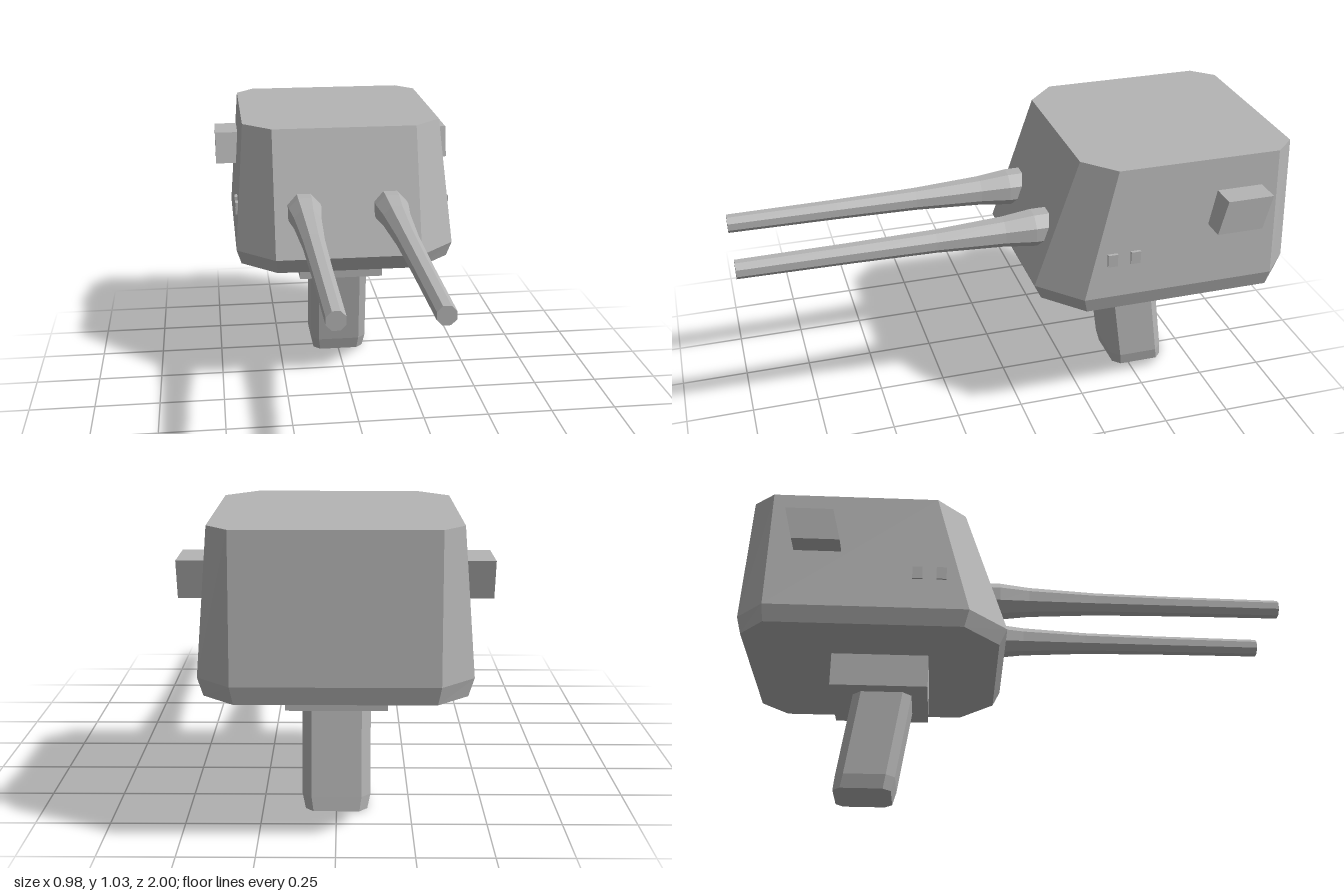
import * as THREE from 'three';

// Faceted normals for a low-poly look
function facet(geometry) {
  const g = geometry.index ? geometry.toNonIndexed() : geometry;
  g.computeVertexNormals();
  return g;
}

// Closed solid through rings of [x, y, z] points, listed bottom to top
function loft(rings) {
  const pos = [];
  const n = rings[0].length;
  const tri = (a, b, c) => pos.push(...a, ...b, ...c);
  for (let k = 0; k < rings.length - 1; k++) {
    for (let i = 0; i < n; i++) {
      const j = (i + 1) % n;
      tri(rings[k][i], rings[k][j], rings[k + 1][j]);
      tri(rings[k][i], rings[k + 1][j], rings[k + 1][i]);
    }
  }
  const low = rings[0], high = rings[rings.length - 1];
  for (let i = 1; i < n - 1; i++) {
    tri(high[0], high[i], high[i + 1]);
    tri(low[0], low[i + 1], low[i]);
  }
  const g = new THREE.BufferGeometry();
  g.setAttribute('position', new THREE.Float32BufferAttribute(pos, 3));
  return facet(g);
}

// Rectangle with cut corners: front edge, side run and back edge
function ring(y, halfWidth, frontX, frontZ, sideFrontZ, sideBackZ, backX, backZ) {
  const half = [[frontX, frontZ], [halfWidth, sideFrontZ], [halfWidth, sideBackZ], [backX, backZ]];
  const other = half.map(([x, z]) => [-x, z]).reverse();
  return [...half, ...other].map(([x, z]) => [x, y, z]);
}

export function createModel() {
  const model = new THREE.Group();
  const grey = new THREE.MeshStandardMaterial({ color: 0xb4b4b4 });
  grey.name = 'gunmetal grey';

  const add = (name, geometry) => {
    const mesh = new THREE.Mesh(geometry, grey);
    mesh.name = name;
    model.add(mesh);
    return mesh;
  };

  // Armoured housing with sloped walls and a bevelled lower rim
  add('turretHousing', loft([
    ring(0.495, 0.41, 0.275, -0.065, -0.195, -0.895, 0.31, -0.985),
    ring(0.555, 0.428, 0.283, -0.037, -0.178, -0.9, 0.32, -1.0),
    ring(1.03, 0.388, 0.28, -0.195, -0.3, -0.9, 0.318, -0.977),
  ]));

  // Square collar under the housing
  add('collar', facet(new THREE.BoxGeometry(0.34, 0.14, 0.355)))
    .position.set(0, 0.44, -0.4975);

  // Raked pedestal with chamfered corners and a narrowed foot
  add('pedestal', loft([
    ring(0, 0.105, 0.078, -0.44, -0.468, -0.62, 0.078, -0.647),
    ring(0.05, 0.116, 0.085, -0.427, -0.459, -0.61, 0.085, -0.641),
    ring(0.38, 0.116, 0.085, -0.378, -0.41, -0.563, 0.085, -0.594),
  ]));

  // Eight-sided tapering gun barrel, from root to muzzle
  const barrelProfile = [
    [0, -0.2], [0.068, -0.2], [0.068, -0.06], [0.055, 0.05],
    [0.042, 0.3], [0.037, 0.6], [0.034, 1.0], [0, 1.0],
  ].map(([r, l]) => new THREE.Vector2(r, l));
  const barrel = facet(new THREE.LatheGeometry(barrelProfile, 8, Math.PI / 8).rotateX(Math.PI / 2));

  // Sensor block leaning backward as it rises
  const block = loft([[0.785, -0.64, -0.81], [0.91, -0.67, -0.84]].map(([y, front, back]) => [
    [0.055, y, front], [0.055, y, back], [-0.055, y, back], [-0.055, y, front],
  ]));

  const hatch = facet(new THREE.BoxGeometry(0.022, 0.047, 0.036));

  for (const [side, s] of [['left', 1], ['right', -1]]) {
    add(side + 'Barrel', barrel).position.set(s * 0.167, 0.731, 0);
    add(side + 'SensorBlock', block).position.x = s * 0.436;
    [-0.279, -0.365].forEach((z, i) => {
      add(side + 'SideHatch' + (i + 1), hatch).position.set(s * 0.414, 0.7, z);
    });
  }

  return model;
}
